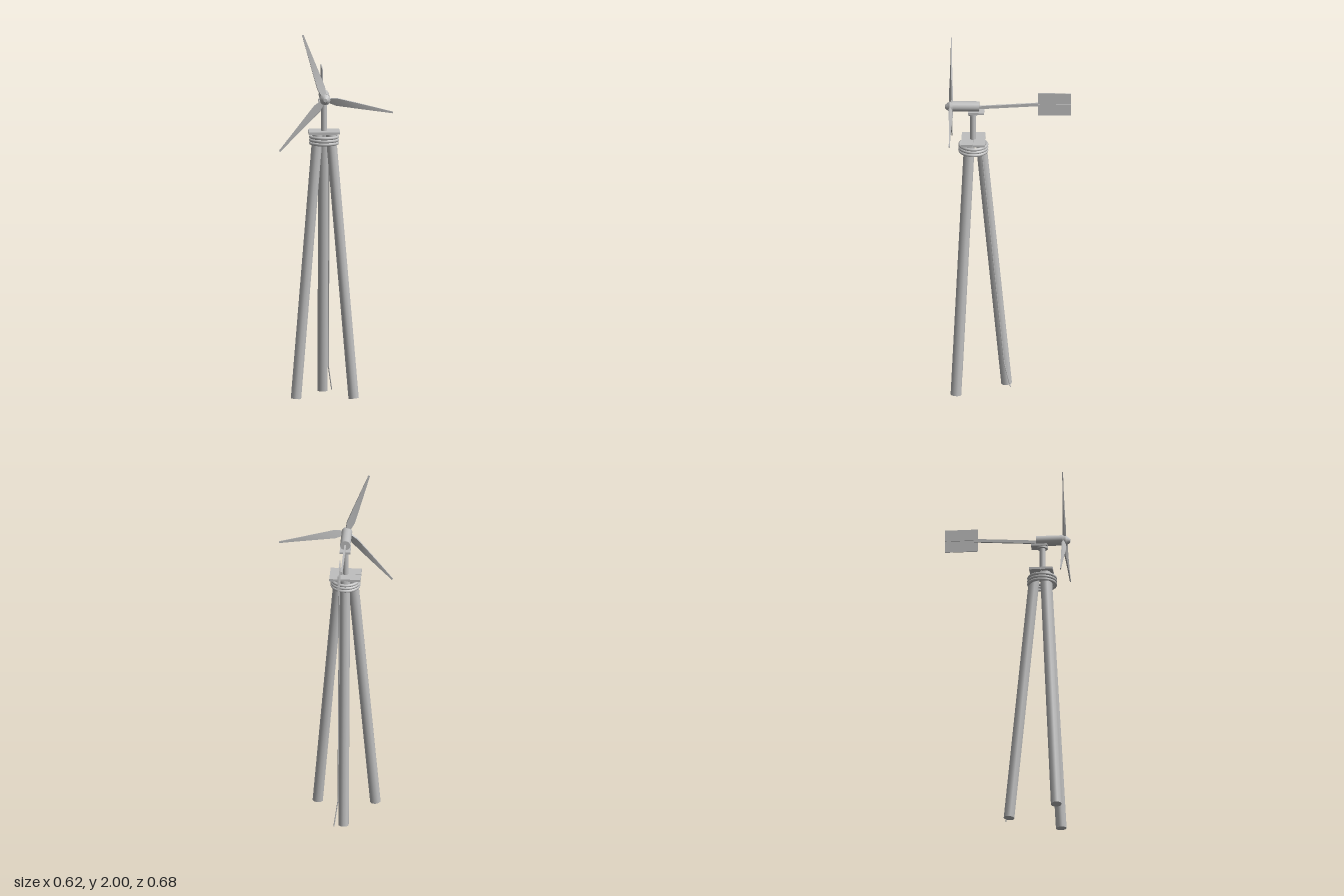
import * as THREE from 'three';

const CX = -0.061, CZ = 0.187; // tower axis
const HUB_Y = 1.642;

export function createModel() {
  const model = new THREE.Group();
  model.name = 'windTurbine';
  const grey = new THREE.MeshStandardMaterial({ color: 0xbfbfbf });
  grey.name = 'plain grey';

  const add = (name, geometry, x = 0, y = 0, z = 0, parent = model) => {
    const mesh = new THREE.Mesh(geometry, grey);
    mesh.name = name;
    mesh.position.set(x, y, z);
    parent.add(mesh);
    return mesh;
  };
  // Stretches a y-aligned shape between two points
  const between = (name, a, b, makeGeometry) => {
    const dir = b.clone().sub(a);
    const mesh = add(name, makeGeometry(dir.length()));
    mesh.position.copy(a).add(b).multiplyScalar(0.5);
    mesh.quaternion.setFromUnitVectors(new THREE.Vector3(0, 1, 0), dir.normalize());
    return mesh;
  };

  // Three splayed round legs: one at the back, two in front
  const legPoint = (angle, y) => {
    const r = 0.18 - 0.0964 * y;
    return new THREE.Vector3(CX + Math.sin(angle) * r, y, CZ + Math.cos(angle) * r);
  };
  [['backLeg', Math.PI], ['leftLeg', Math.PI / 3], ['rightLeg', -Math.PI / 3]].forEach(([name, a]) => {
    between(name, legPoint(a, 0.003), legPoint(a, 1.44),
      (len) => new THREE.CylinderGeometry(0.029, 0.029, len, 10));
  });

  // Bands lashed around the leg tops
  for (let i = 0; i < 3; i++) {
    const band = add('legBand', new THREE.TorusGeometry(0.073, 0.0085, 8, 28), CX, 1.386 + i * 0.017, CZ);
    band.rotation.x = Math.PI / 2;
  }

  // Two-board platform
  for (const s of [-1, 1]) {
    add('platformBoard', new THREE.BoxGeometry(0.169, 0.013, 0.0625), CX, 1.4465, CZ + s * 0.0325);
  }

  // Mast, collar and mounting plate
  add('mast', new THREE.CylinderGeometry(0.0155, 0.0155, 0.15, 14), CX, 1.528, CZ + 0.002);
  add('mastCollar', new THREE.CylinderGeometry(0.028, 0.028, 0.01, 16), CX, 1.602, CZ + 0.002);
  add('mountingPlate', new THREE.BoxGeometry(0.058, 0.011, 0.088), CX, 1.6125, 0.172);

  // Generator body
  const body = add('generator', new THREE.CylinderGeometry(0.028, 0.028, 0.145, 16), CX, 1.645, 0.2275);
  body.rotation.x = Math.PI / 2;

  // Tail boom, rising slightly to the back
  between('tailBoom', new THREE.Vector3(CX, 1.639, 0.16), new THREE.Vector3(CX, 1.662, -0.183),
    (len) => new THREE.BoxGeometry(0.01, len, 0.017));

  // Tail vane of two boards
  for (const s of [-1, 1]) {
    add('tailVane', new THREE.BoxGeometry(0.005, 0.064, 0.178), CX + 0.0085, 1.666 + s * 0.033, -0.251);
  }

  // Rotor: hub, nose and three tapered, twisted blades
  const rotor = new THREE.Group();
  rotor.name = 'rotor';
  rotor.position.set(CX, HUB_Y, 0.308);
  model.add(rotor);
  const hub = add('hub', new THREE.CylinderGeometry(0.029, 0.029, 0.02, 12), 0, 0, -0.002, rotor);
  const nose = add('hubNose', new THREE.CylinderGeometry(0.01, 0.029, 0.023, 12), 0, 0, 0.0195, rotor);
  hub.rotation.x = nose.rotation.x = Math.PI / 2;

  // [radius, width, thickness, twist]
  const stations = [
    [0.01, 0.022, 0.010, 0.42],
    [0.065, 0.045, 0.008, 0.36],
    [0.16, 0.034, 0.007, 0.24],
    [0.27, 0.021, 0.006, 0.12],
    [0.374, 0.009, 0.005, 0.05],
  ];
  const bladeGeometry = () => {
    const box = new THREE.BoxGeometry(1, 1, 1, 1, stations.length - 1, 1);
    const p = box.attributes.position;
    for (let i = 0; i < p.count; i++) {
      const [r, w, t, twist] = stations[Math.round((p.getY(i) + 0.5) * (stations.length - 1))];
      const x = p.getX(i) * w, z = p.getZ(i) * t;
      const c = Math.cos(twist), s = Math.sin(twist);
      p.setXYZ(i, x * c + z * s, r, z * c - x * s);
    }
    box.computeVertexNormals();
    return box;
  };
  const blade = bladeGeometry();
  for (let i = 0; i < 3; i++) {
    add('blade', blade, 0, 0, 0, rotor).rotation.z = THREE.MathUtils.degToRad(18.8 + i * 120);
  }

  // Cable running down the back leg and out to the ground
  const down = legPoint(Math.PI, 1.42), bend = legPoint(Math.PI, 0.14);
  const cable = new THREE.CurvePath();
  const pts = [
    new THREE.Vector3(CX + 0.031, 1.42, down.z),
    new THREE.Vector3(CX + 0.031, 0.14, bend.z),
    new THREE.Vector3(-0.01, 0.003, -0.015),
  ];
  for (let i = 0; i < 2; i++) cable.add(new THREE.LineCurve3(pts[i], pts[i + 1]));
  add('cable', new THREE.TubeGeometry(cable, 40, 0.003, 6));

  return model;
}
